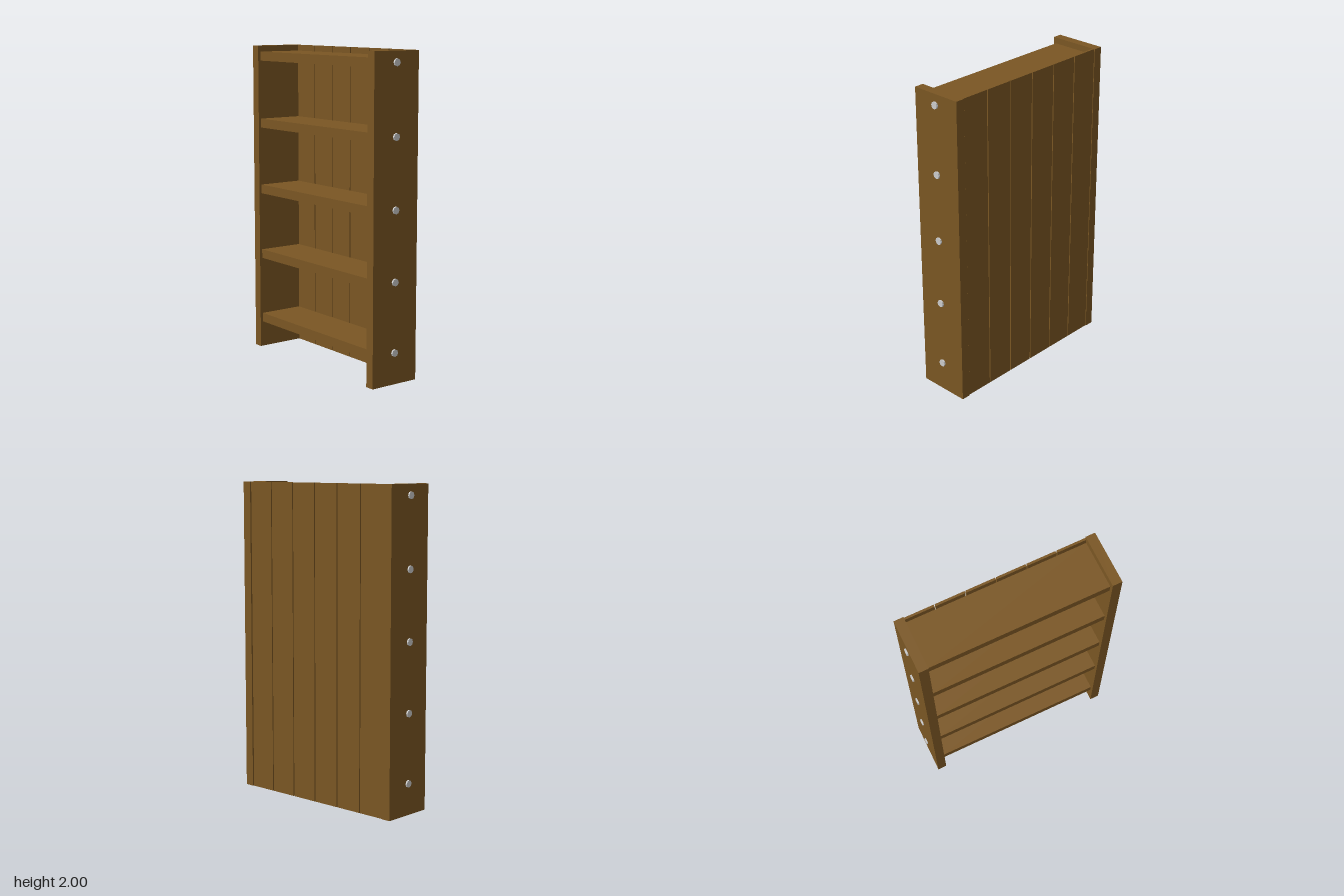
import * as THREE from 'three';

export function createModel() {
  const group = new THREE.Group();
  const wood = new THREE.MeshStandardMaterial({ color: 0x7a5623 });
  const metal = new THREE.MeshStandardMaterial({ color: 0xcccccc, flatShading: true });

  // Board given by its extents on each axis
  function board(name, [x0, x1], [y0, y1], [z0, z1]) {
    const mesh = new THREE.Mesh(new THREE.BoxGeometry(x1 - x0, y1 - y0, z1 - z0), wood);
    mesh.position.set((x0 + x1) / 2, (y0 + y1) / 2, (z0 + z1) / 2);
    mesh.name = name;
    group.add(mesh);
  }

  // Upright side panels
  board('rightSide', [-0.625, -0.566], [0, 2], [-0.168, 0.168]);
  board('leftSide', [0.56, 0.62], [0, 2], [-0.168, 0.168]);

  // Vertical back planks with narrow gaps
  for (let i = 0; i < 6; i++) {
    const x = -0.566 + i * 0.188;
    board(`backPlank${i + 1}`, [x, x + 0.181], [0, 2], [-0.163, -0.149]);
  }

  // Shelves, each held by a bolt head at both ends
  const boltGeometry = new THREE.CylinderGeometry(0.023, 0.023, 0.03, 8);
  boltGeometry.rotateZ(Math.PI / 2);
  for (let i = 0; i < 5; i++) {
    const y = 0.197 + i * 0.434;
    board(`shelf${i + 1}`, [-0.566, 0.556], [y - 0.029, y + 0.029], [-0.148, 0.151]);
    for (const [side, x] of [['right', -0.62], ['left', 0.616]]) {
      const bolt = new THREE.Mesh(boltGeometry, metal);
      bolt.position.set(x, y, 0.003);
      bolt.name = `${side}Bolt${i + 1}`;
      group.add(bolt);
    }
  }

  return group;
}
